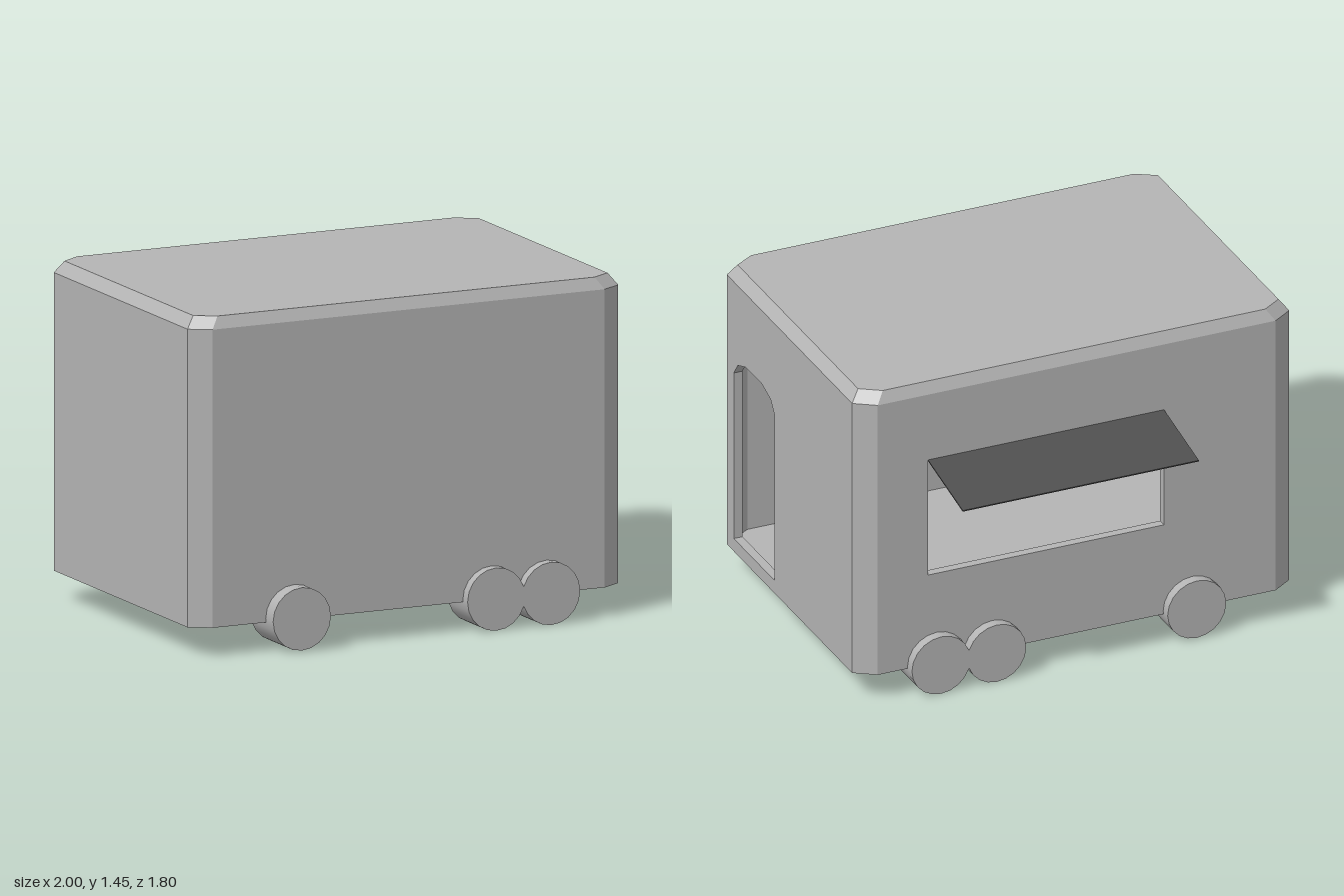
import * as THREE from 'three';
import { ConvexGeometry } from 'three/addons/geometries/ConvexGeometry.js';

const T = 0.04; // wall thickness
const Y0 = 0.13, Y1 = 1.4; // wall bottom and top

// plan of the cabin, corners cut, running from the front's left end
const PLAN = [
  [-0.91, 0.825], [0.91, 0.825], [1, 0.77], [1, -0.49],
  [0.91, -0.55], [-0.91, -0.55], [-1, -0.49], [-1, 0.77],
];

function path(points) {
  return new THREE.Path(points.map(([x, y]) => new THREE.Vector2(x, y)));
}

// upright wall panel from plan point a to b, its outer face on the line a-b
function panel(a, b, hole) {
  const dx = b[0] - a[0], dz = b[1] - a[1], length = Math.hypot(dx, dz);
  const shape = new THREE.Shape();
  shape.moveTo(0, Y0);
  shape.lineTo(length, Y0);
  shape.lineTo(length, Y1);
  shape.lineTo(0, Y1);
  shape.closePath();
  if (hole) shape.holes.push(path(hole));
  const geometry = new THREE.ExtrudeGeometry(shape, { depth: T, bevelEnabled: false });
  geometry.translate(0, 0, -T);
  geometry.rotateY(Math.atan2(-dz, dx));
  geometry.translate(a[0], 0, a[1]);
  return geometry;
}

// solid slab between two rings of the plan
function slab(yLow, yHigh, sLow, sHigh) {
  const points = [];
  for (const [y, s] of [[yLow, sLow], [yHigh, sHigh]]) {
    for (const [x, z] of PLAN) {
      points.push(new THREE.Vector3(x * s, y, 0.1375 + (z - 0.1375) * s));
    }
  }
  return new ConvexGeometry(points);
}

export function createModel() {
  const model = new THREE.Group();
  const grey = new THREE.MeshStandardMaterial({ color: 0xb4b4b4 });
  grey.name = 'bodyGrey';
  const dark = new THREE.MeshStandardMaterial({ color: 0x505050 });
  dark.name = 'awningDarkGrey';

  function add(name, geometry, material = grey) {
    const mesh = new THREE.Mesh(geometry, material);
    mesh.name = name;
    model.add(mesh);
    return mesh;
  }

  // arched doorway, measured along the left wall from its front end (z = 0.77)
  const door = [
    [0.70, 0.19], [0.70, 0.97], [0.66, 1.025], [0.58, 1.055],
    [0.42, 1.055], [0.33, 1.025], [0.29, 0.97], [0.29, 0.19],
  ].map(([z, y]) => [0.77 - z, y]);
  // serving window, measured along the back wall from x = 0.91
  const serving = [[0.68, 0.55], [0.68, 1.09], [-0.4, 1.09], [-0.4, 0.55]]
    .map(([x, y]) => [0.91 - x, y]);

  // walls and cut corners
  const names = ['frontWall', 'frontLeftCorner', 'leftWall', 'backLeftCorner',
    'backWall', 'backRightCorner', 'rightWall', 'frontRightCorner'];
  const holes = { leftWall: door, backWall: serving };
  names.forEach((name, i) => {
    add(name, panel(PLAN[i], PLAN[(i + 1) % 8], holes[name]));
  });

  // floor and bevelled roof
  add('floor', slab(Y0, 0.17, 1, 0.995));
  add('roof', slab(Y1, 1.45, 1, 0.962));

  // ceiling lamp
  const lamp = add('ceilingLamp', new THREE.CylinderGeometry(0.1, 0.1, 0.04, 24));
  lamp.position.set(-0.18, Y1 - 0.02, 0.25);

  // wheels, reaching through the floor: x, inner z, outer z
  const wheels = [
    [-0.53, 0.68, 0.895], [0.385, 0.68, 0.87], [0.64, 0.68, 0.87],
    [-0.53, -0.4, -0.595], [0.385, -0.4, -0.595], [0.64, -0.4, -0.595],
  ];
  for (const [x, inner, outer] of wheels) {
    const geometry = new THREE.CylinderGeometry(0.134, 0.134, Math.abs(outer - inner), 20);
    geometry.rotateX(Math.PI / 2);
    const wheel = add(outer > 0 ? 'frontSideWheel' : 'backSideWheel', geometry);
    wheel.position.set(x, x < 0 ? 0.145 : 0.138, (inner + outer) / 2);
  }

  // awning sloping out over the serving window
  const awning = add('awning', new THREE.BoxGeometry(1.08, 0.006, 0.357), dark);
  awning.position.set(0.14, 1.055, -0.725);
  awning.rotation.x = -Math.atan2(0.07, 0.35);

  return model;
}
